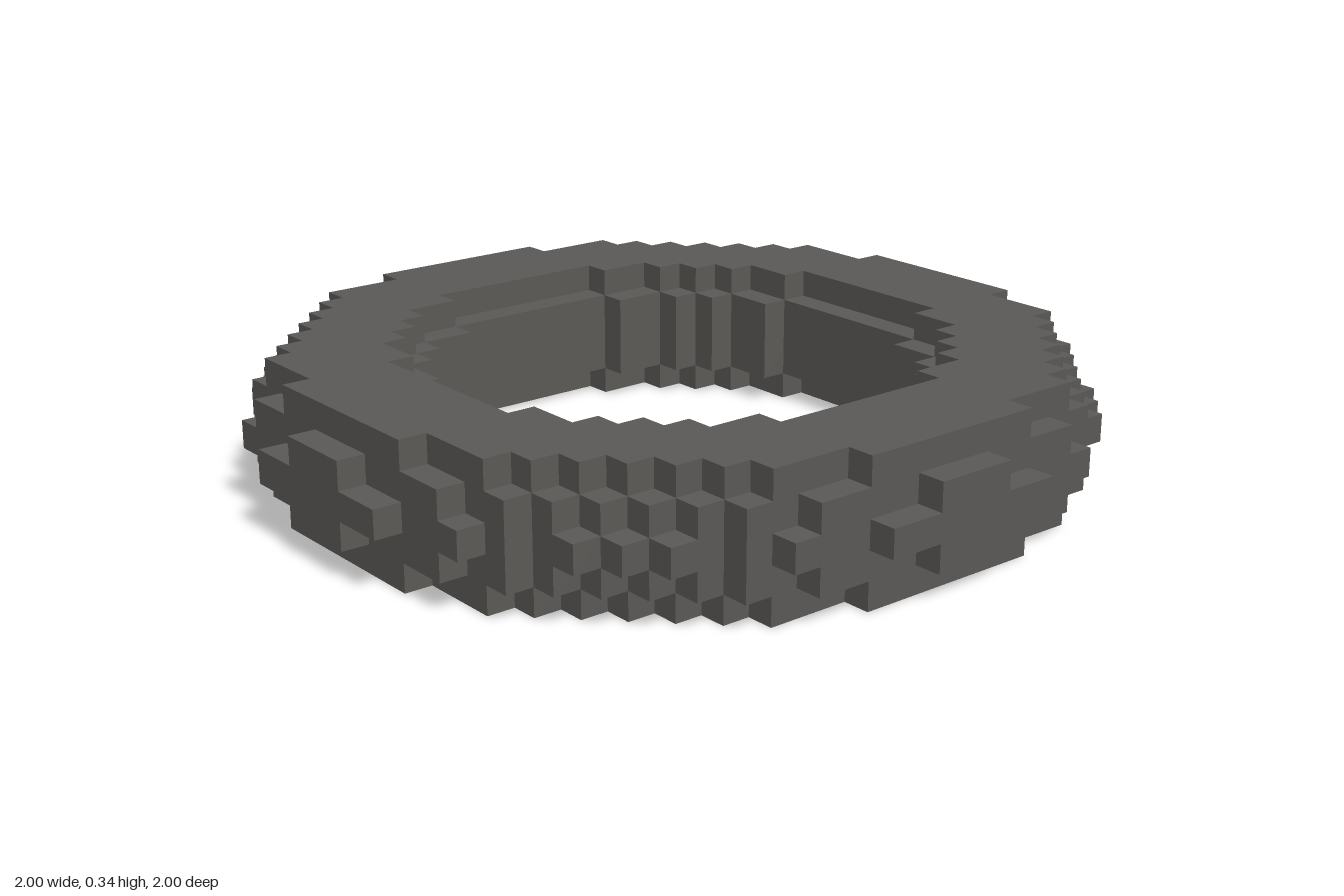
import * as THREE from 'three';
import { mergeGeometries } from 'three/addons/utils/BufferGeometryUtils.js';

const N = 14;            // blocks either side of the centre block
const S = 2 / 29;        // block size

// Squared inner and outer radii of each block layer, bottom to top
const LAYERS = [
  { name: 'bottomLayer', inner: 92, outer: 180 },
  { name: 'lowerLayer', inner: 77, outer: 198 },
  { name: 'middleLayer', inner: 77, outer: 206 },
  { name: 'upperLayer', inner: 77, outer: 198 },
  { name: 'topLayer', inner: 92, outer: 180 },
];

function filled(x, y, z) {
  const layer = LAYERS[y];
  const d = x * x + z * z;
  return Boolean(layer) && d >= layer.inner && d <= layer.outer;
}

// One square face for each direction of a block
function blockFace(rotX, rotY) {
  return new THREE.PlaneGeometry(S, S).translate(0, 0, S / 2).rotateX(rotX).rotateY(rotY);
}
const Q = Math.PI / 2;
const FACES = [
  { dir: [0, 0, 1], geometry: blockFace(0, 0) },
  { dir: [0, 0, -1], geometry: blockFace(0, Math.PI) },
  { dir: [1, 0, 0], geometry: blockFace(0, Q) },
  { dir: [-1, 0, 0], geometry: blockFace(0, -Q) },
  { dir: [0, 1, 0], geometry: blockFace(-Q, 0) },
  { dir: [0, -1, 0], geometry: blockFace(Q, 0) },
];

// Outer faces of all blocks in one layer
function layerGeometry(y) {
  const parts = [];
  for (let x = -N; x <= N; x++) {
    for (let z = -N; z <= N; z++) {
      if (!filled(x, y, z)) continue;
      for (const { dir, geometry } of FACES) {
        if (filled(x + dir[0], y + dir[1], z + dir[2])) continue;
        parts.push(geometry.clone().translate(x * S, (y + 0.5) * S, z * S));
      }
    }
  }
  return mergeGeometries(parts);
}

export function createModel() {
  const group = new THREE.Group();
  group.name = 'blockRing';
  const darkGrey = new THREE.MeshStandardMaterial({ color: 0x5b5956 });
  darkGrey.name = 'darkGrey';

  LAYERS.forEach(({ name }, y) => {
    const mesh = new THREE.Mesh(layerGeometry(y), darkGrey);
    mesh.name = name;
    group.add(mesh);
  });
  return group;
}
